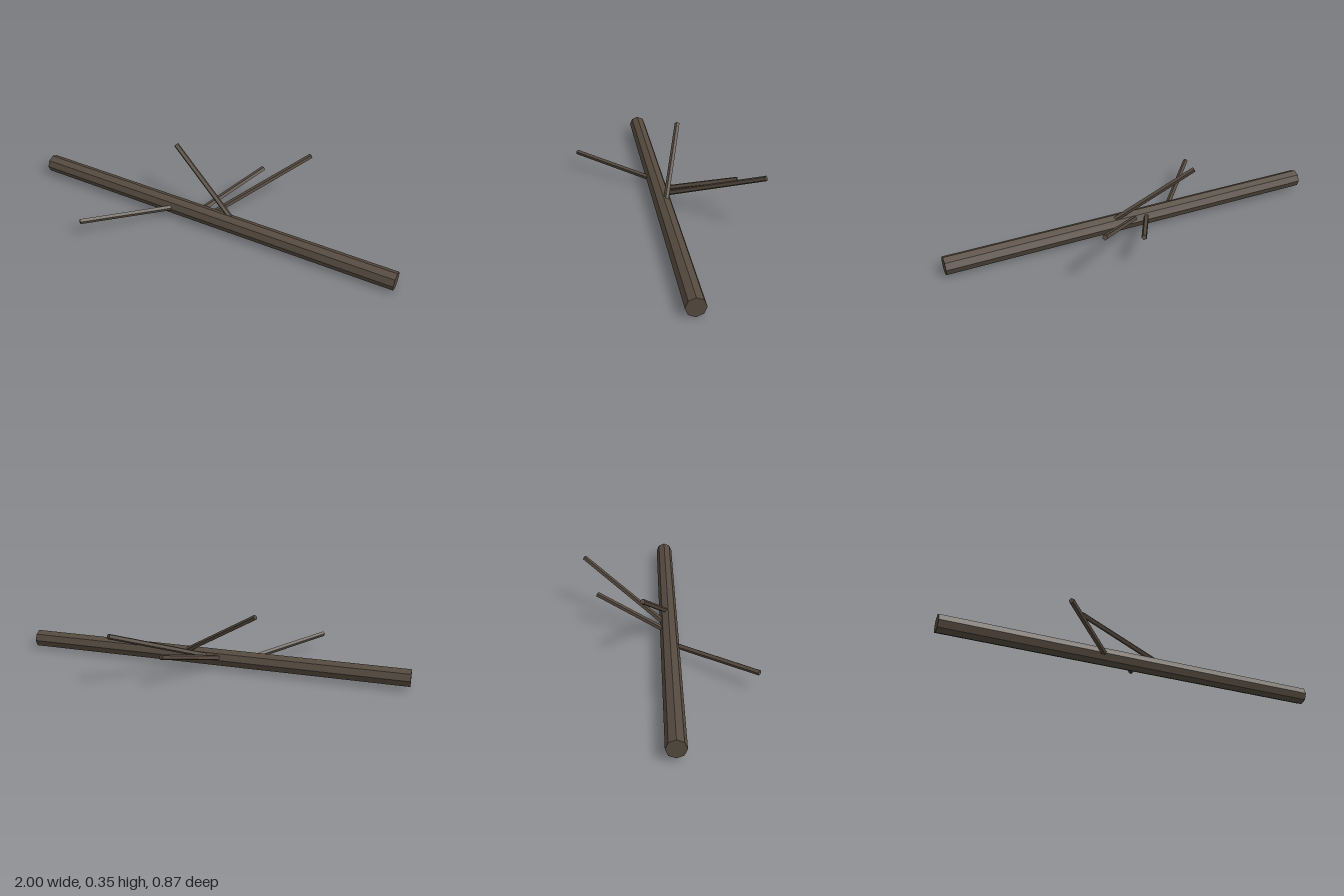
import * as THREE from 'three';

const UP = new THREE.Vector3(0, 1, 0);

// Straight faceted limb running between two points
function limb(name, from, to, rStart, rEnd, sides, material) {
  const a = new THREE.Vector3(...from);
  const dir = new THREE.Vector3(...to).sub(a);
  const mesh = new THREE.Mesh(
    new THREE.CylinderGeometry(rEnd, rStart, dir.length(), sides), material);
  mesh.name = name;
  mesh.position.copy(a).addScaledVector(dir, 0.5);
  mesh.quaternion.setFromUnitVectors(UP, dir.normalize());
  return mesh;
}

export function createModel() {
  const bark = new THREE.MeshStandardMaterial({ color: 0x554a3f, flatShading: true });
  bark.name = 'dark bark';

  const group = new THREE.Group();
  group.name = 'fallenLog';

  // Long trunk, sloping slightly down towards +x
  group.add(limb('trunk', [-1, 0.062, 0.031], [1, 0.049, 0.02], 0.046, 0.046, 8, bark));

  // Bare branches rooted on the trunk axis
  const branches = [
    ['frontBranch', [-0.17, 0.056, 0.026], [-0.51, 0.099, 0.425]],
    ['longBackBranch', [0, 0.056, 0.025], [0.366, 0.284, -0.425]],
    ['shortBackBranch', [-0.06, 0.056, 0.026], [0.135, 0.177, -0.345]],
    ['upperBranch', [0.17, 0.055, 0.025], [-0.259, 0.337, -0.105]],
  ];
  for (const [name, root, tip] of branches) {
    group.add(limb(name, root, tip, 0.014, 0.0135, 5, bark));
  }
  return group;
}
